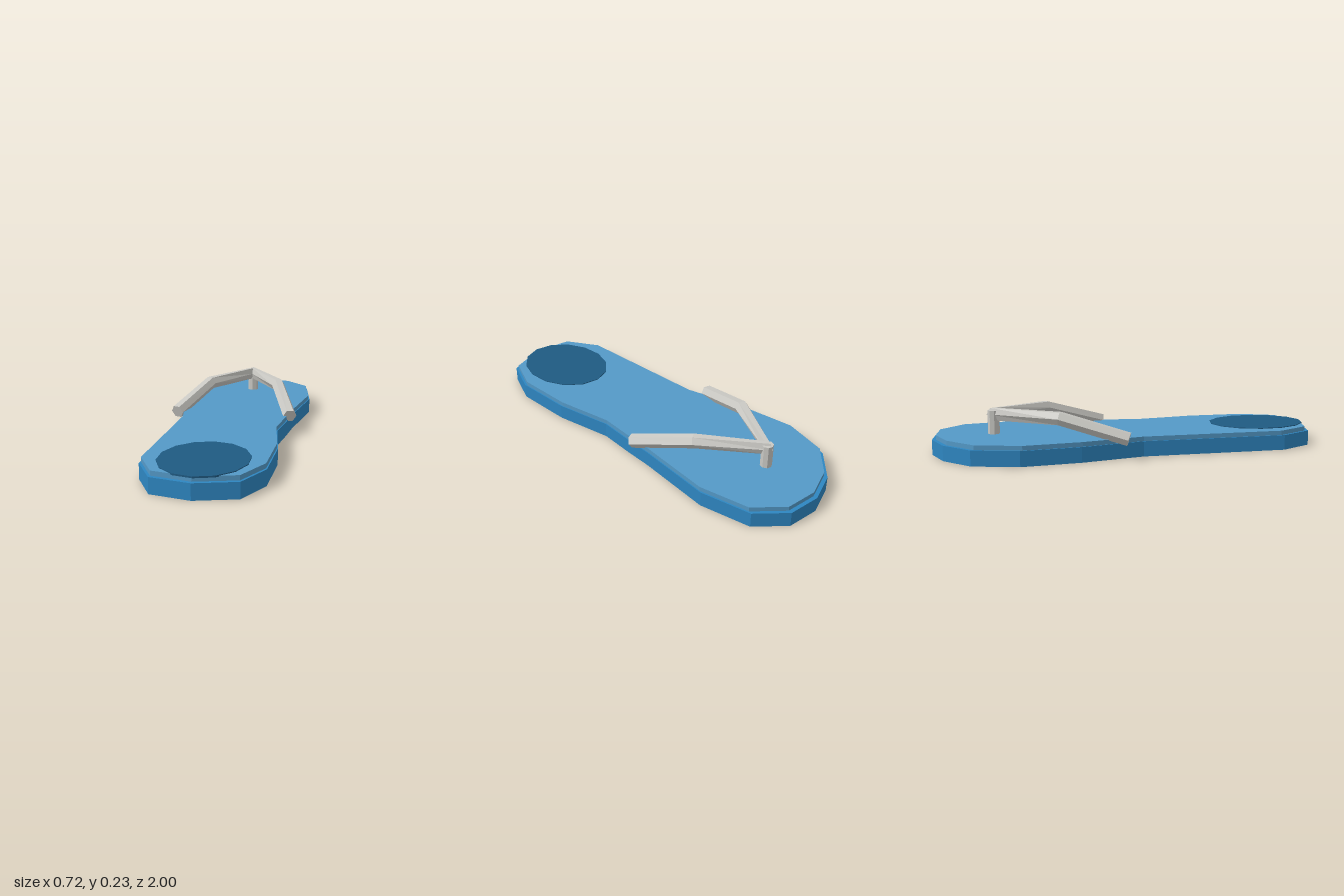
import * as THREE from 'three';

const material = (name, color, flatShading = true) => {
  const m = new THREE.MeshStandardMaterial({ color, flatShading });
  m.name = name;
  return m;
};

// Sole outline as [x, z], from the toe around the +x side
const OUTLINE = [
  [0.035, -1], [0.2, -0.97], [0.325, -0.835], [0.358, -0.57], [0.29, -0.18],
  [0.272, -0.03], [0.245, 0.155], [0.28, 0.46], [0.265, 0.77], [0.175, 0.95],
  [-0.025, 1], [-0.22, 0.95], [-0.31, 0.77], [-0.28, 0.02], [-0.34, -0.31],
  [-0.358, -0.61], [-0.282, -0.835], [-0.13, -0.955],
];

// Flat slab cut to the sole outline
function slab(scale, y, height) {
  const shape = new THREE.Shape(OUTLINE.map(([x, z]) => new THREE.Vector2(x * scale, -z * scale)));
  const g = new THREE.ExtrudeGeometry(shape, { depth: height, bevelEnabled: false });
  return g.rotateX(-Math.PI / 2).translate(0, y, 0);
}

// Capped tube with a flat-topped section, turned halfway at every bend
function sweep(points, radius, sides) {
  const pos = [], index = [];
  const worldUp = new THREE.Vector3(0, 1, 0);
  const n = points.length;
  points.forEach((p, i) => {
    const t = new THREE.Vector3();
    if (i > 0) t.add(p.clone().sub(points[i - 1]).normalize());
    if (i < n - 1) t.add(points[i + 1].clone().sub(p).normalize());
    t.normalize();
    const side = worldUp.clone().cross(t).normalize();
    const up = t.clone().cross(side);
    for (let k = 0; k < sides; k++) {
      const a = (k / sides) * Math.PI * 2;
      const v = p.clone().addScaledVector(side, radius * Math.cos(a)).addScaledVector(up, radius * Math.sin(a));
      pos.push(v.x, v.y, v.z);
    }
  });
  for (let i = 0; i < n - 1; i++) {
    for (let k = 0; k < sides; k++) {
      const a = i * sides + k, b = i * sides + (k + 1) % sides;
      index.push(a, b, b + sides, a, b + sides, a + sides);
    }
  }
  const last = (n - 1) * sides;
  for (let k = 1; k < sides - 1; k++) {
    index.push(0, k + 1, k, last, last + k, last + k + 1);
  }
  const g = new THREE.BufferGeometry();
  g.setAttribute('position', new THREE.Float32BufferAttribute(pos, 3));
  g.setIndex(index);
  const flat = g.toNonIndexed();
  flat.computeVertexNormals();
  return flat;
}

export function createModel() {
  const group = new THREE.Group();
  const soleBlue = material('sole blue', 0x2e86c1);
  const footbedBlue = material('footbed blue', 0x5499c7);
  const padBlue = material('heel pad blue', 0x1f5a82);
  const strapGrey = material('strap grey', 0xcac9c4);

  const add = (name, geometry, mat) => {
    const mesh = new THREE.Mesh(geometry, mat);
    mesh.name = name;
    group.add(mesh);
    return mesh;
  };

  // Sole layers
  add('sole', slab(1, 0, 0.077), soleBlue);
  add('footbed', slab(0.98, 0.077, 0.023), footbedBlue);

  // Heel pad
  const pad = add('heelPad', new THREE.CylinderGeometry(1, 1, 0.008, 14), padBlue);
  pad.scale.set(0.212, 1, 0.258);
  pad.position.set(-0.02, 0.1, 0.733);

  // Y-shaped strap, one piece from side to side over the toe post
  const path = [
    [-0.325, 0.1, -0.07], [-0.2, 0.197, -0.39], [0.007, 0.2, -0.69],
    [0.19, 0.197, -0.39], [0.287, 0.1, -0.07],
  ].map((p) => new THREE.Vector3(...p));
  add('strap', sweep(path, 0.036, 6), strapGrey);

  // Toe post
  const post = add('toePost', new THREE.CylinderGeometry(0.03, 0.03, 0.13, 8), strapGrey);
  post.position.set(0.007, 0.155, -0.692);

  return group;
}
